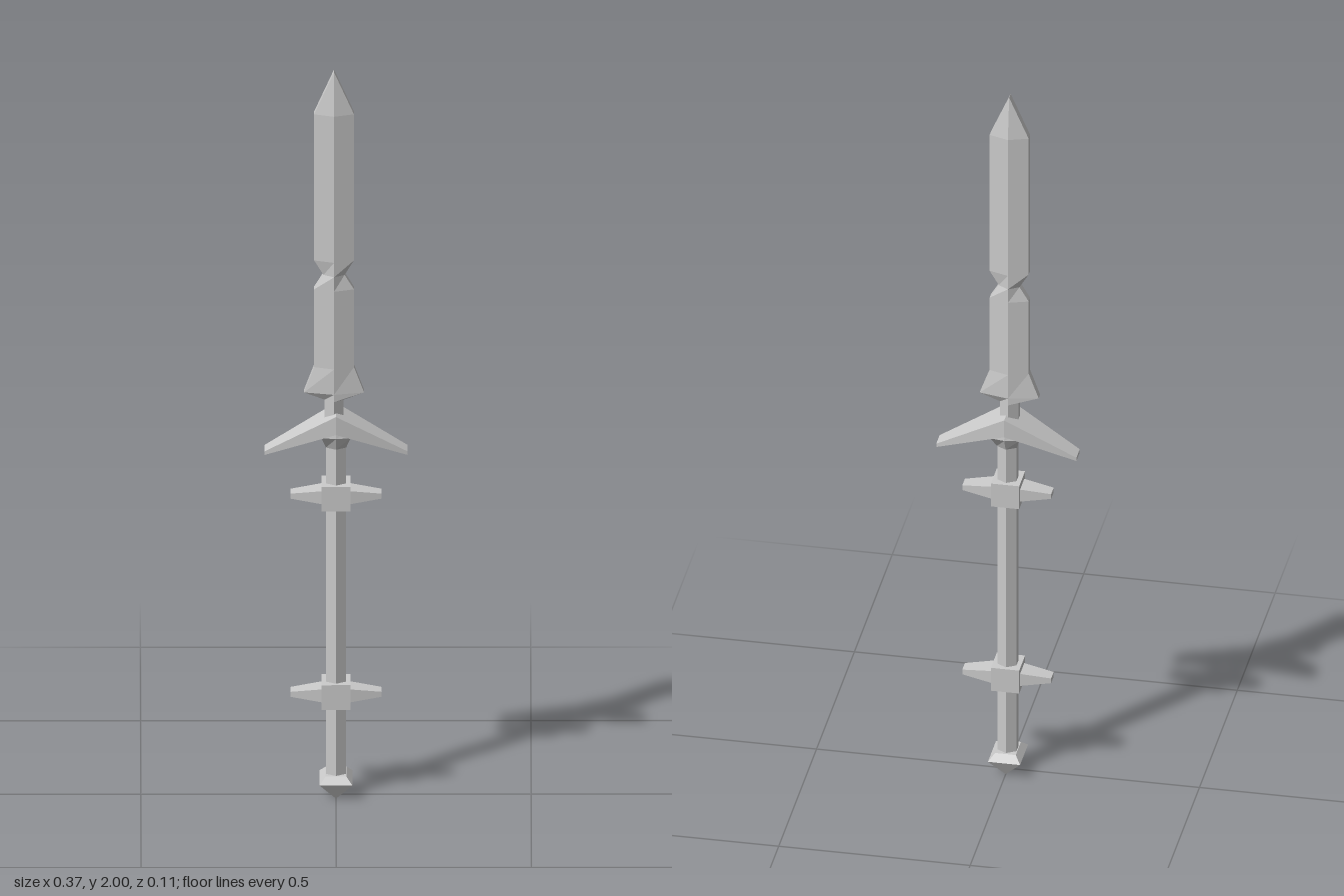
import * as THREE from 'three';

const material = new THREE.MeshStandardMaterial({ color: 0xcccccc, flatShading: true });

// Skin a list of equal-length rings (counter-clockwise about the sweep direction) and cap both ends.
function loft(name, rings) {
  const pos = [];
  const tri = (a, b, c) => pos.push(...a, ...b, ...c);
  const n = rings[0].length;
  for (let k = 0; k < rings.length - 1; k++) {
    const lo = rings[k], hi = rings[k + 1];
    for (let i = 0; i < n; i++) {
      const j = (i + 1) % n;
      tri(lo[i], lo[j], hi[j]);
      tri(lo[i], hi[j], hi[i]);
    }
  }
  const first = rings[0], last = rings[rings.length - 1];
  for (let i = 1; i < n - 1; i++) {
    tri(first[0], first[i + 1], first[i]);
    tri(last[0], last[i], last[i + 1]);
  }
  const geometry = new THREE.BufferGeometry();
  geometry.setAttribute('position', new THREE.Float32BufferAttribute(pos, 3));
  geometry.computeVertexNormals();
  const mesh = new THREE.Mesh(geometry, material);
  mesh.name = name;
  return mesh;
}

// Horizontal hexagon: half width w, side edges at z = ±e, ridges at z = ±r.
const hex = (y, w, e, r) =>
  [[w, y, e], [w, y, -e], [0, y, -r], [-w, y, -e], [-w, y, e], [0, y, r]];

// Horizontal rectangle.
const rectY = (y, w, d) => [[w, y, d], [w, y, -d], [-w, y, -d], [-w, y, d]];

// Rectangle facing along x.
const rectX = (x, top, bottom, d) => [[x, top, -d], [x, top, d], [x, bottom, d], [x, bottom, -d]];

// Collar block with a tapered spike on either side.
function spikedCollar(name, y) {
  const group = new THREE.Group();
  group.name = name;
  group.position.y = y;
  const block = new THREE.Mesh(new THREE.BoxGeometry(0.074, 0.068, 0.078), material);
  block.name = 'collarBlock';
  const spikes = loft('collarSpikes', [
    rectX(-0.116, 0.007, -0.007, 0.017),
    rectX(-0.036, 0.018, -0.018, 0.028),
    rectX(0.036, 0.018, -0.018, 0.028),
    rectX(0.116, 0.007, -0.007, 0.017),
  ]);
  group.add(block, spikes);
  return group;
}

export function createModel() {
  const model = new THREE.Group();
  model.name = 'bladedPolearm';

  // Ridged blade with tang, flared base, side notches and pointed tip: [y, half width]
  const outline = [
    [1.03, 0.024], [1.095, 0.024], [1.115, 0.077], [1.185, 0.051],
    [1.4, 0.051], [1.44, 0.027], [1.48, 0.051], [1.884, 0.051],
  ];
  const blade = loft('blade', [
    ...outline.map(([y, w]) => hex(y, w, 0.01, 0.027)),
    hex(2, 0, 0.01, 0.01),
  ]);
  blade.position.x = -0.005;

  // Swept-down crossguard and the socket beneath it
  const guard = loft('crossguard', [
    rectX(-0.183, 0.957, 0.947, 0.022),
    rectX(0, 1.063, 1.013, 0.05),
    rectX(0.183, 0.957, 0.947, 0.022),
  ]);
  const socket = loft('guardSocket', [
    hex(0.965, 0.026, 0.016, 0.031),
    hex(1.002, 0.037, 0.044, 0.05),
    hex(1.02, 0.03, 0.042, 0.048),
  ]);

  // Six-sided shaft
  const shaft = loft('shaft', [
    hex(0.05, 0.025, 0.0145, 0.029),
    hex(0.98, 0.025, 0.0145, 0.029),
  ]);

  // Wedge-shaped pommel
  const pommel = loft('pommel', [
    rectY(0, 0, 0.03),
    rectY(0.045, 0.042, 0.053),
    rectY(0.062, 0.027, 0.034),
  ]);

  model.add(blade, guard, socket, shaft, pommel);
  model.add(spikedCollar('upperCollar', 0.831), spikedCollar('lowerCollar', 0.283));
  return model;
}
